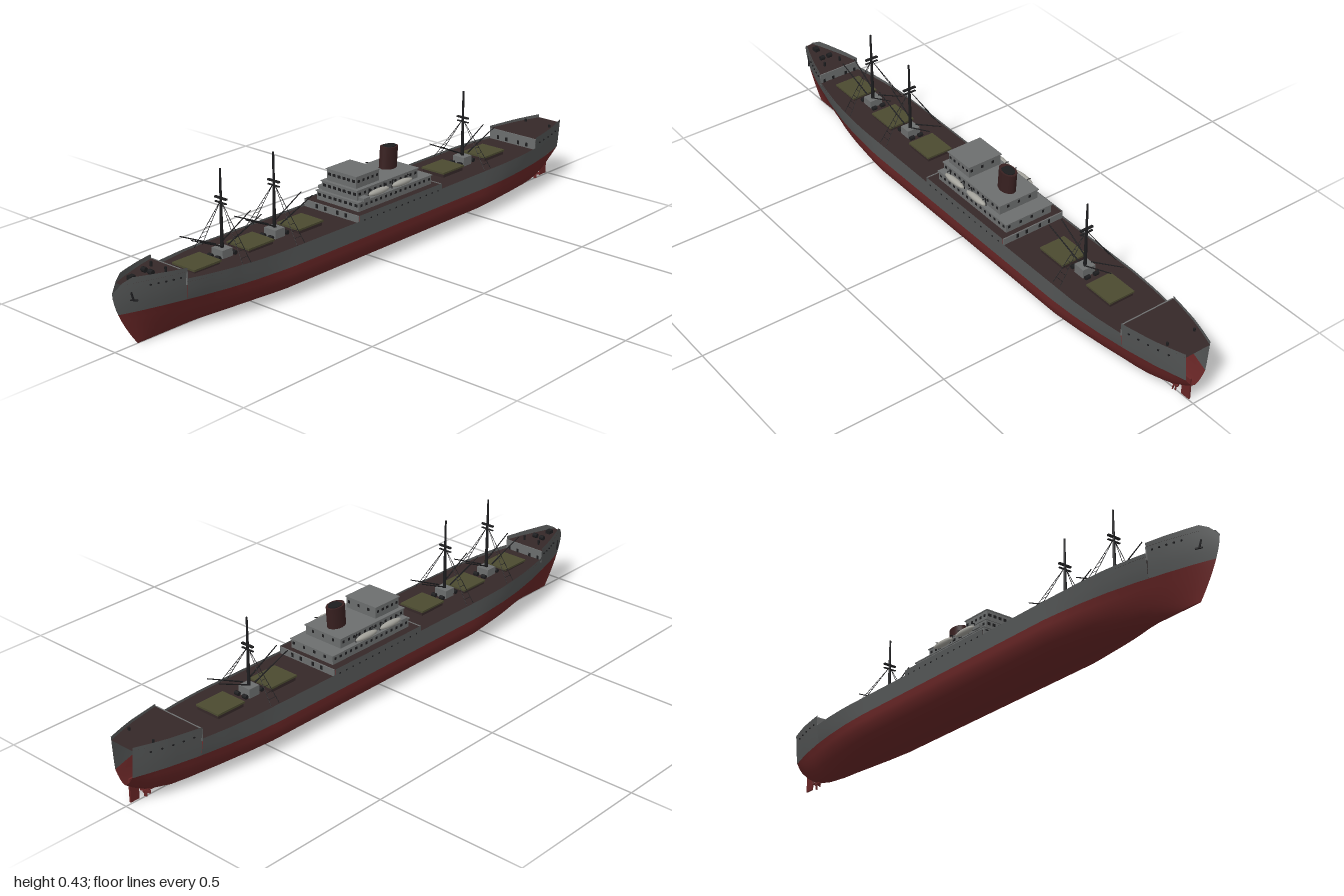
import * as THREE from 'three';

const mat = (name, color, side = THREE.FrontSide) => {
  const m = new THREE.MeshStandardMaterial({ color, side });
  m.name = name;
  return m;
};

// piecewise linear lookup in [[position, value], ...]
const look = (pts, z) => {
  for (let i = 1; i < pts.length; i++) {
    const [a, va] = pts[i - 1], [b, vb] = pts[i];
    if (z <= b) return va + (vb - va) * Math.max(0, (z - a) / (b - a));
  }
  return pts[pts.length - 1][1];
};
const lerp = THREE.MathUtils.lerp;

// hull lines
const WATER = 0.108;
const beamPts = [[-1, 0.045], [-0.95, 0.062], [-0.9, 0.077], [-0.8, 0.097], [-0.7, 0.109], [-0.6, 0.115], [0.45, 0.115],
  [0.55, 0.112], [0.65, 0.103], [0.75, 0.086], [0.85, 0.06], [0.93, 0.032], [0.97, 0.015], [1, 0.0005]];
const keelPts = [[-1, 0.072], [-0.97, 0.048], [-0.92, 0.022], [-0.85, 0.005], [-0.8, 0.002], [1, 0.002]];
const endPts = [[-1, 0.75], [-0.85, 0.5], [-0.5, 0], [0.4, 0], [0.6, 0.35], [0.85, 0.85], [1, 1]];
const beam = z => look(beamPts, z);
const stem = y => 1 - 0.085 * Math.pow(Math.max(0, 1 - y / 0.175), 1.6);
const warp = (z, y) => z > 0.6 ? 0.6 + (z - 0.6) * (stem(y) - 0.6) / 0.4 : z;
const rowV = [0, 0.05, 0.11, 0.22, 0.37, 0.6, 0.8, 1];
const rowMid = [0, 0.2, 0.43, 0.66, 0.83, 0.97, 0.995, 1];
const rowEnd = [0, 0.06, 0.11, 0.2, 0.3, 0.46, 0.58, 0.72];

// each stretch of hull: aft z, fore z, rail heights, deck heights
const stretches = [
  { name: 'poop', a: -1, b: -0.79, top: [[-1, 0.208], [-0.79, 0.204]], deck: [0.197, 0.197] },
  { name: 'aftWell', a: -0.79, b: -0.27, top: [[-0.79, 0.168], [-0.27, 0.166]], deck: [0.161, 0.16] },
  { name: 'midship', a: -0.27, b: 0.12, top: [[-0.27, 0.184], [0.12, 0.184]], deck: [0.181, 0.181] },
  { name: 'foreWell', a: 0.12, b: 0.79, top: [[0.12, 0.166], [0.5, 0.168], [0.79, 0.178]], deck: [0.16, 0.167] },
  { name: 'forecastle', a: 0.79, b: 1, top: [[0.79, 0.21], [0.96, 0.217], [1, 0.176]], deck: [0.198, 0.198] },
];

// grid surface from f(i, j) -> [x, y, z]
function grid(ni, nj, f) {
  const pos = [], idx = [];
  for (let i = 0; i <= ni; i++) for (let j = 0; j <= nj; j++) pos.push(...f(i, j));
  for (let i = 0; i < ni; i++) for (let j = 0; j < nj; j++) {
    const a = i * (nj + 1) + j, b = a + nj + 1;
    idx.push(a, a + 1, b, b, a + 1, b + 1);
  }
  const g = new THREE.BufferGeometry();
  g.setAttribute('position', new THREE.Float32BufferAttribute(pos, 3));
  g.setIndex(idx);
  g.computeVertexNormals();
  return g;
}

export function createModel() {
  const D = THREE.DoubleSide;
  const grey = mat('hullGrey', 0x545656, D), red = mat('hullRed', 0x682626, D);
  const deckMat = mat('deckBrown', 0x352828, D), house = mat('houseGrey', 0x6c6e6e, D);
  const olive = mat('hatchOlive', 0x4b4a30), black = mat('fittingBlack', 0x1d1d1f);
  const funnelMat = mat('funnelMaroon', 0x382020), boatMat = mat('boatWhite', 0xa3a29b);

  const ship = new THREE.Group();
  ship.name = 'cargoShip';
  const add = (name, geo, m, x = 0, y = 0, z = 0) => {
    const mesh = new THREE.Mesh(geo, m);
    mesh.name = name;
    mesh.position.set(x, y, z);
    ship.add(mesh);
    return mesh;
  };
  // box given by its base height
  const box = (name, m, w, h, d, x, y, z) => add(name, new THREE.BoxGeometry(w, h, d), m, x, y + h / 2, z);
  // round bar between two points
  const bar = (name, p, q, r1, r2 = r1, m = black) => {
    const a = new THREE.Vector3(...p), b = new THREE.Vector3(...q), d = b.clone().sub(a);
    const mesh = add(name, new THREE.CylinderGeometry(r2, r1, d.length(), 6), m);
    mesh.position.copy(a).lerp(b, 0.5);
    mesh.quaternion.setFromUnitVectors(new THREE.Vector3(0, 1, 0), d.normalize());
  };

  // lower hull, keel to waterline, both sides in one sheet
  const n = rowV.length - 1;
  add('lowerHull', grid(80, 2 * n, (i, j) => {
    const z = -1 + i / 40, k = Math.abs(j - n), s = j < n ? 1 : -1;
    const y = lerp(look(keelPts, z), WATER, rowV[k]);
    return [s * beam(z) * lerp(rowMid[k], rowEnd[k], look(endPts, z)), y, warp(z, y)];
  }), red);

  // upper hull sides, decks and break bulkheads
  for (const { name, a, b, top, deck } of stretches) {
    const steps = Math.max(8, Math.round((b - a) / 0.025));
    for (const s of [1, -1]) add(name + 'Side', grid(steps, 4, (i, j) => {
      const z = lerp(a, b, i / steps), y = lerp(WATER, look(top, z), j / 4);
      const w = beam(z) * lerp(lerp(1, 0.72, look(endPts, z)), 1, Math.pow(j / 4, 0.8));
      return [s * w, y, warp(z, y)];
    }), grey);
    const end = Math.min(b, 0.975);
    add(name + 'Deck', grid(steps, 1, (i, j) => {
      const t = i / steps, z = lerp(a, end, t);
      return [(j ? 1 : -1) * beam(z) * 0.985, lerp(deck[0], deck[1], t), z];
    }), deckMat);
  }
  const doors = [-0.06, -0.025, 0.025, 0.06];
  for (const [z, h, face] of [[-0.79, 0.198, 1], [-0.27, 0.182, -1], [0.12, 0.182, 1], [0.79, 0.199, -1]]) {
    box('breakBulkhead', house, beam(z) * 1.95, h - 0.158, 0.004, 0, 0.158, z);
    for (const x of doors) box('bulkheadDoor', black, 0.008, 0.013, 0.003, x, 0.166, z + face * 0.002);
  }

  // portholes along the hull
  for (const s of [1, -1]) {
    for (let i = 0; i < 13; i++) box('porthole', black, 0.003, 0.004, 0.005, s * 0.1148, 0.163, -0.25 + i * 0.029);
    for (let i = 0; i < 5; i++) {
      const za = -0.95 + i * 0.033, zf = 0.81 + i * 0.022;
      box('porthole', black, 0.004, 0.004, 0.005, s * beam(za) * 0.985, 0.178, za);
      box('porthole', black, 0.004, 0.004, 0.005, s * beam(zf) * 0.985, 0.182, zf);
    }
    // bow anchor
    bar('anchorShank', [s * 0.02, 0.172, 0.95], [s * 0.025, 0.145, 0.945], 0.003);
    bar('anchorArms', [s * 0.018, 0.149, 0.952], [s * 0.031, 0.146, 0.935], 0.003);
    // forecastle winches and bollards
    bar('windlass', [s * 0.006, 0.205, 0.87], [s * 0.022, 0.205, 0.87], 0.008);
    bar('bollard', [s * 0.03, 0.198, 0.83], [s * 0.03, 0.213, 0.83], 0.004);
    bar('poopBollard', [s * 0.05, 0.197, -0.93], [s * 0.05, 0.206, -0.93], 0.004);
  }
  box('bowLocker', black, 0.016, 0.012, 0.02, 0, 0.198, 0.93);

  // rudder and propeller
  box('rudder', red, 0.006, 0.075, 0.032, 0, 0.008, -0.968);
  bar('propellerShaft', [0, 0.022, -0.89], [0, 0.02, -0.935], 0.006, 0.004, red);
  for (let i = 0; i < 4; i++) {
    const blade = box('propellerBlade', red, 0.009, 0.018, 0.003, 0, 0, -0.927);
    const t = i * Math.PI / 2;
    blade.position.set(-Math.sin(t) * 0.01, 0.021 + Math.cos(t) * 0.01, -0.927);
    blade.rotation.set(0, 0.5, t);
  }

  // superstructure tiers: half width, base, top, aft z, fore z, windows per front and side
  const tiers = [
    ['lowerHouse', 0.086, 0.181, 0.212, -0.25, 0.093, 8, 15],
    ['boatDeckHouse', 0.072, 0.212, 0.245, -0.2, 0.085, 7, 12],
    ['bridge', 0.06, 0.245, 0.284, -0.03, 0.075, 6, 5],
  ];
  for (const [name, w, y0, y1, za, zf, nf, ns] of tiers) {
    box(name, house, 2 * w, y1 - y0, zf - za, 0, y0, (za + zf) / 2);
    box(name + 'RoofEdge', house, 2 * w + 0.006, 0.003, zf - za + 0.006, 0, y1 - 0.003, (za + zf) / 2);
    const wy = lerp(y0, y1, 0.45);
    for (let i = 0; i < nf; i++) {
      const x = lerp(-w, w, (i + 0.5) / nf);
      box('frontWindow', black, 0.011, 0.009, 0.003, x, wy, zf);
      if (i % 2) box('aftWindow', black, 0.008, 0.009, 0.003, x, wy, za);
    }
    for (let i = 0; i < ns; i++) for (const s of [1, -1])
      box('sideWindow', black, 0.003, 0.008, 0.008, s * w, wy, lerp(za, zf, (i + 0.5) / ns));
  }
  box('bridgeWing', house, 0.19, 0.01, 0.028, 0, 0.212, 0.065);

  // funnel, oval and slightly raked
  const funnel = add('funnel', new THREE.CylinderGeometry(0.0235, 0.0235, 0.07, 24), funnelMat, 0, 0.28, -0.143);
  funnel.scale.z = 1.45;
  funnel.rotation.x = -0.08;
  const rim = add('funnelRim', new THREE.CylinderGeometry(0.018, 0.018, 0.003, 24), black, 0, 0.315, -0.146);
  rim.scale.z = 1.45;

  // lifeboats on davits
  for (const s of [1, -1]) for (const z of [-0.105, 0.005]) {
    const boat = add('lifeboat', new THREE.SphereGeometry(1, 12, 8), boatMat, s * 0.09, 0.226, z);
    boat.scale.set(0.011, 0.01, 0.048);
    for (const e of [-0.035, 0.035]) {
      bar('davit', [s * 0.078, 0.208, z + e], [s * 0.081, 0.242, z + e], 0.0015);
      bar('davitArm', [s * 0.081, 0.242, z + e], [s * 0.092, 0.24, z + e], 0.0015);
    }
  }

  // cargo hatches
  for (const z of [-0.63, -0.415, 0.26, 0.47, 0.685]) {
    box('hatchCoaming', deckMat, 0.086, 0.012, 0.1, 0, 0.16, z);
    box('hatchCover', olive, 0.092, 0.006, 0.106, 0, 0.172, z);
  }

  // masts with winch houses, crosstrees, booms and shrouds
  for (const [z, top] of [[0.585, 0.43], [0.37, 0.425], [-0.515, 0.41]]) {
    box('winchHouse', house, 0.046, 0.03, 0.04, 0, 0.16, z);
    for (const s of [1, -1]) for (const e of [1, -1])
      bar('winch', [s * 0.008, 0.17, z + e * 0.032], [s * 0.024, 0.17, z + e * 0.032], 0.007);
    bar('mast', [0, 0.16, z], [0, top, z], 0.006, 0.003);
    box('crosstree', black, 0.046, 0.005, 0.008, 0, top - 0.092, z);
    box('lowerCrosstree', black, 0.046, 0.003, 0.006, 0, top - 0.105, z);
    for (const s of [1, -1]) for (const e of [1, -1]) {
      bar('cargoBoom', [s * 0.014, 0.2, z + e * 0.012], [s * 0.023, 0.258, z + e * 0.14], 0.0022, 0.0016);
      bar('shroud', [s * 0.003, top - 0.1, z], [s * beam(z) * 0.93, 0.165, z + e * 0.016], 0.0009);
    }
    // ratlines between each pair of shrouds
    for (const s of [1, -1]) for (let i = 1; i < 9; i++) {
      const t = i / 9, x = s * lerp(0.003, beam(z) * 0.93, t), y = lerp(top - 0.1, 0.165, t);
      bar('ratline', [x, y, z - 0.016 * t], [x, y, z + 0.016 * t], 0.0007);
    }
  }
  return ship;
}
